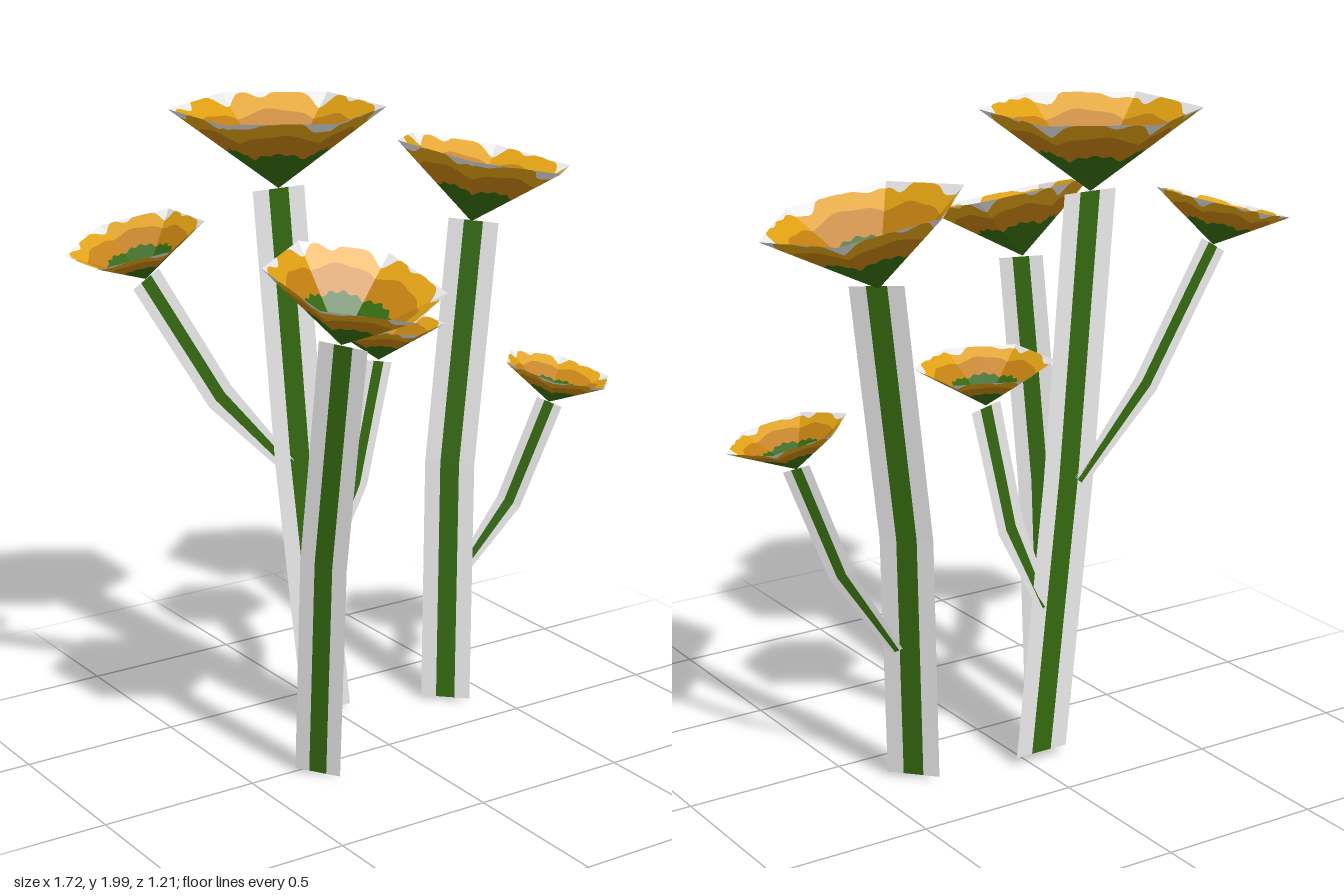
import * as THREE from 'three';

const flat = (color, name) => new THREE.MeshStandardMaterial({ color, name, side: THREE.DoubleSide });
const pale = flat(0xe8e8e8, 'pale edge');
const green = flat(0x34680f, 'leaf green');
const amber = flat(0xc27f10, 'amber');
const yellow = flat(0xdfa012, 'golden yellow');
const V = (x, y, z) => new THREE.Vector3(x, y, z);

// strip of flat-shaded quads between two equally long rows of points
function strip(a, b, material, name) {
  const pts = [];
  for (let i = 0; i < a.length - 1; i++) {
    pts.push(a[i], b[i], b[i + 1], a[i], b[i + 1], a[i + 1]);
  }
  const geo = new THREE.BufferGeometry().setFromPoints(pts);
  geo.computeVertexNormals();
  const mesh = new THREE.Mesh(geo, material);
  mesh.name = name;
  return mesh;
}

// flat ribbon stem: green core with a pale margin on each side
function stem(name, points, widths, across, square = true) {
  const group = new THREE.Group();
  group.name = name;
  const p = points.map((q) => V(...q));
  const rows = [-0.5, -0.19, 0.19, 0.5].map((f) => p.map((c, i) => {
    const t = p[Math.min(i + 1, p.length - 1)].clone().sub(p[Math.max(i - 1, 0)]).normalize();
    const w = V(...across).normalize();
    if (square) w.addScaledVector(t, -w.dot(t)).normalize();
    return c.clone().addScaledVector(w, f * widths[i]);
  }));
  group.add(
    strip(rows[0], rows[1], pale, 'stemMarginA'),
    strip(rows[1], rows[2], green, 'stemCore'),
    strip(rows[2], rows[3], pale, 'stemMarginB'),
  );
  return group;
}

// open six-sided cone with rings of colour; a corner points along turn (degrees from +z to +x)
function flower(name, apex, rim, radius, turn) {
  const group = new THREE.Group();
  group.name = name;
  const axis = V(...rim).sub(V(...apex));
  const height = axis.length();
  const N = 120;
  const ring = (reach) => Array.from({ length: N + 1 }, (_, i) => {
    const a = (i / N) * Math.PI * 2;
    const local = (a % (Math.PI / 3)) - Math.PI / 6;
    const hex = radius * Math.cos(Math.PI / 6) / Math.cos(local);
    const r = Math.min(reach(a) * radius, hex);
    const d = a + THREE.MathUtils.degToRad(turn);
    return V(Math.sin(d) * r, height * r / hex, Math.cos(d) * r);
  });
  const rings = [
    ring(() => 0),
    ring((a) => 0.465 + 0.015 * Math.sin(20 * a)),
    ring((a) => 0.71 + 0.01 * Math.sin(12 * a)),
    ring((a) => 0.875 + 0.035 * Math.sin(11 * a) + 0.025 * Math.sin(17 * a + 1)),
    ring(() => 2),
  ];
  [[green, 'flowerHeart'], [amber, 'innerPetals'], [yellow, 'outerPetals'], [pale, 'petalEdge']]
    .forEach(([m, n], i) => group.add(strip(rings[i], rings[i + 1], m, n)));
  group.quaternion.setFromUnitVectors(V(0, 1, 0), axis.normalize());
  group.position.set(...apex);
  return group;
}

export function createModel() {
  const model = new THREE.Group();
  model.name = 'flowerCluster';
  const Z = -0.29;

  // middle plant with two side branches
  model.add(
    stem('mainStem', [[-0.045, 0.04, Z], [-0.135, 0.9, Z], [-0.2, 1.76, Z]], [0.18, 0.18, 0.18], [1, 0, 0], false),
    stem('leftBranch', [[-0.175, 0.885, Z], [-0.415, 1.15, Z], [-0.655, 1.545, Z]], [0.05, 0.095, 0.1], [1, 0, 0]),
    stem('rightBranch', [[-0.055, 0.51, Z], [0.07, 0.785, Z], [0.158, 1.17, Z]], [0.05, 0.09, 0.1], [1, 0, 0]),
    flower('mainFlower', [-0.2, 1.76, Z], [-0.2, 2, Z], 0.322, 0),
    flower('leftBranchFlower', [-0.655, 1.545, Z], [-0.69, 1.67, Z], 0.208, 0),
    flower('rightBranchFlower', [0.158, 1.175, Z], [0.165, 1.298, Z], 0.205, 0),
  );

  // plant on the model's left with one side branch
  model.add(
    stem('tallStem', [[0.35, 0.025, -0.188], [0.405, 0.8, -0.25], [0.515, 1.575, -0.285]], [0.16, 0.16, 0.16], [0.7, 0, 0.72]),
    stem('tallBranch', [[0.41, 0.44, -0.2], [0.55, 0.68, -0.125], [0.658, 1.01, -0.063]], [0.04, 0.08, 0.085], [1, 0, 1]),
    flower('tallFlower', [0.515, 1.57, -0.297], [0.557, 1.785, -0.286], 0.298, 16),
    flower('tallBranchFlower', [0.658, 1.01, -0.065], [0.68, 1.117, -0.052], 0.185, 18),
  );

  // single flower at the front
  model.add(
    stem('frontStem', [[-0.3, 0.02, 0.055], [-0.337, 0.73, 0.155], [-0.355, 1.43, 0.295]], [0.143, 0.143, 0.143], [0.63, 0, 0.77]),
    flower('frontFlower', [-0.36, 1.433, 0.292], [-0.344, 1.625, 0.342], 0.265, 6),
  );
  return model;
}
